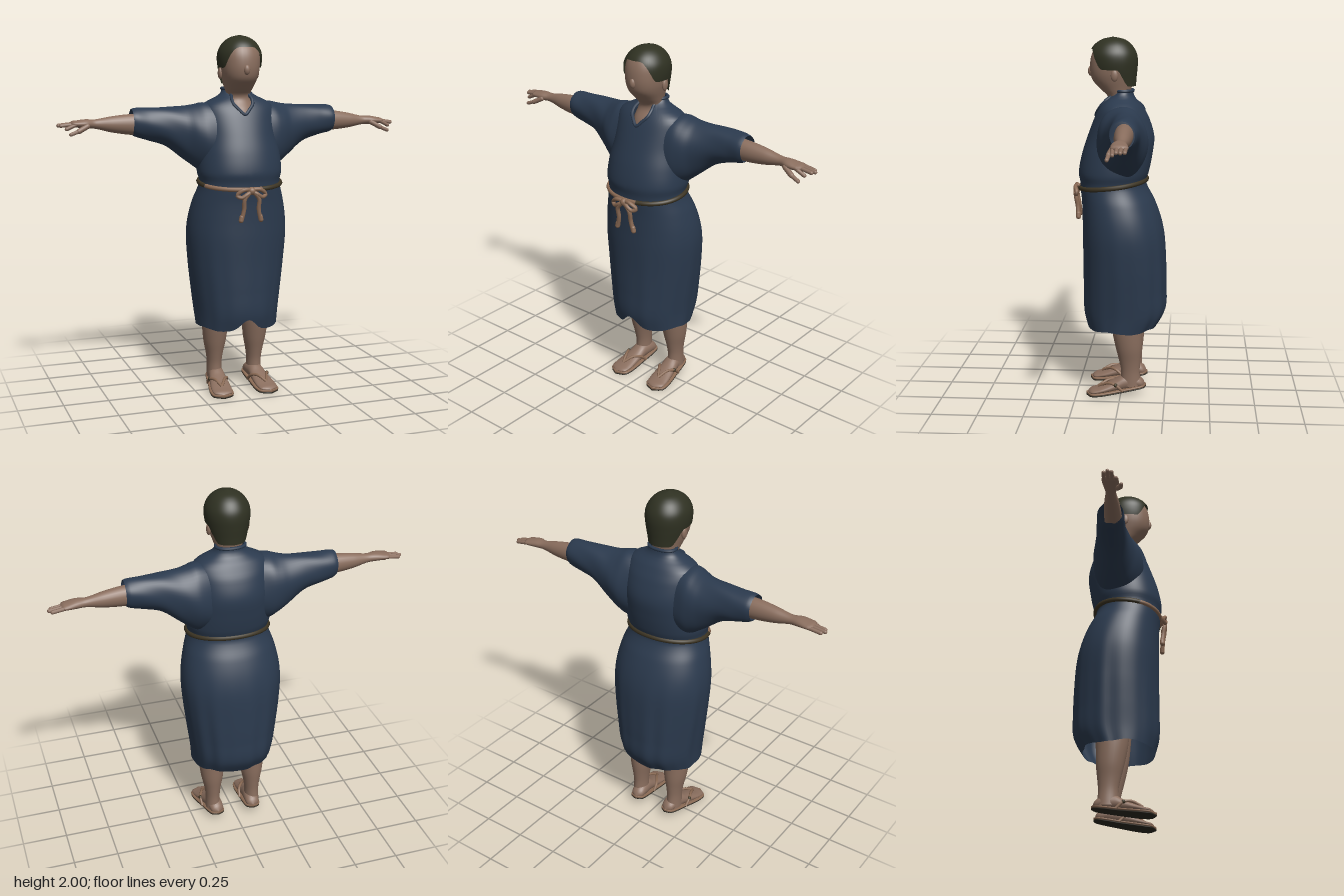
import * as THREE from 'three';

const mat = (name, color, side = THREE.FrontSide) => {
  const m = new THREE.MeshStandardMaterial({ color, side });
  m.name = name;
  return m;
};
const clothMat = mat('navy cloth', 0x2b3a4e, THREE.DoubleSide);
const skinMat = mat('skin', 0x8a6e5e);
const hairMat = mat('dark hair', 0x2f3122, THREE.DoubleSide);
const cordMat = mat('tan cord', 0x8a6a54);
const beltMat = mat('olive belt', 0x3c3423);
const soleMat = mat('dark sole', 0x2b2820);

const V = (x, y, z) => new THREE.Vector3(x, y, z);
const ss = THREE.MathUtils.smoothstep;

// Smooth interpolation of rows [t, lo, hi, lo, hi] at t
function rowAt(rows, t) {
  let i = 0;
  while (i < rows.length - 2 && t > rows[i + 1][0]) i++;
  const slope = (k, c) => {
    const a = rows[Math.max(k - 1, 0)], b = rows[Math.min(k + 1, rows.length - 1)];
    return (b[c] - a[c]) / (b[0] - a[0]);
  };
  const A = rows[i], B = rows[i + 1], h = B[0] - A[0];
  const u = THREE.MathUtils.clamp((t - A[0]) / h, 0, 1), u2 = u * u, u3 = u2 * u;
  return [1, 2, 3, 4].map(c => (2 * u3 - 3 * u2 + 1) * A[c] + (u3 - 2 * u2 + u) * h * slope(i, c)
    + (3 * u2 - 2 * u3) * B[c] + (u3 - u2) * h * slope(i + 1, c));
}

// Point on a rounded cross-section; rows list the two other axes in x, y, z order
function sectionPoint(axis, rows, t, a, p = 2, fold = null) {
  const r = rowAt(rows, t), k = 'xyz'.indexOf(axis), others = [0, 1, 2].filter(i => i !== k);
  const pw = v => Math.sign(v) * Math.pow(Math.abs(v), 2 / p);
  const f = fold ? fold(t, a) : 1, out = [0, 0, 0];
  const dir = [0, 0, 0];
  dir[(k + 2) % 3] = pw(Math.cos(a)) * f;
  dir[(k + 1) % 3] = pw(Math.sin(a)) * f;
  out[k] = t;
  others.forEach((o, n) => {
    const lo = r[2 * n], hi = r[2 * n + 1];
    out[o] = (lo + hi) / 2 + dir[o] * (hi - lo) / 2;
  });
  return V(...out);
}

// Skin through the sections; start and end may vary with the angle
function loft(axis, rows, { seg = 32, steps = 40, p = 2, fold = null, start = null, end = null } = {}) {
  rows = [...rows].sort((a, b) => a[0] - b[0]);
  const pos = [], idx = [];
  for (let i = 0; i <= steps; i++) for (let j = 0; j < seg; j++) {
    const a = j / seg * Math.PI * 2;
    const t0 = start ? start(a) : rows[0][0], t1 = end ? end(a) : rows[rows.length - 1][0];
    pos.push(...sectionPoint(axis, rows, t0 + (t1 - t0) * i / steps, a, p, fold).toArray());
  }
  for (let i = 0; i < steps; i++) for (let j = 0; j < seg; j++) {
    const a = i * seg + j, b = i * seg + (j + 1) % seg;
    idx.push(a, a + seg, b, b, a + seg, b + seg);
  }
  const g = new THREE.BufferGeometry();
  g.setAttribute('position', new THREE.Float32BufferAttribute(pos, 3));
  g.setIndex(idx);
  g.computeVertexNormals();
  return g;
}

const tube = (pts, r, closed = false) =>
  new THREE.TubeGeometry(new THREE.CatmullRomCurve3(pts, closed), pts.length * 4, r, 8, closed);

function add(parent, name, geo, material) {
  const m = new THREE.Mesh(geo, material);
  m.name = name;
  parent.add(m);
  return m;
}

function capsule(parent, name, a, b, r, material) {
  const d = b.clone().sub(a);
  const m = add(parent, name, new THREE.CapsuleGeometry(r, d.length(), 5, 10), material);
  m.position.copy(a).add(b).multiplyScalar(0.5);
  m.quaternion.setFromUnitVectors(V(0, 1, 0), d.normalize());
  return m;
}

const sym = (t, w, lo, hi) => [t, -w, w, lo, hi];

export function createModel() {
  const model = new THREE.Group();
  model.name = 'robedFigure';

  // Robe: skirt, waist, torso and shoulders in one surface with a V neck
  const robe = [
    sym(0.37, 0.228, -0.19, 0.19), sym(0.47, 0.236, -0.245, 0.215), sym(0.6, 0.252, -0.25, 0.218),
    sym(0.75, 0.27, -0.247, 0.218), sym(0.9, 0.282, -0.238, 0.22), sym(1.0, 0.276, -0.218, 0.22),
    sym(1.1, 0.255, -0.182, 0.223), sym(1.17, 0.232, -0.145, 0.23), sym(1.21, 0.225, -0.132, 0.232),
    sym(1.26, 0.236, -0.148, 0.24), sym(1.36, 0.232, -0.168, 0.222), sym(1.46, 0.22, -0.177, 0.19),
    sym(1.56, 0.215, -0.148, 0.152), sym(1.61, 0.205, -0.12, 0.128), sym(1.64, 0.175, -0.1, 0.108),
    sym(1.66, 0.13, -0.08, 0.09), sym(1.685, 0.09, -0.065, 0.06), sym(1.73, 0.076, -0.058, 0.03),
  ];
  const folds = (t, a) => {
    const skirt = 1 - ss(t, 0.6, 1.1), back = 0.4 + 0.6 * ss(-Math.sin(a), -0.3, 0.4);
    return 1 + skirt * back * (0.012 * Math.sin(11 * a + 1) + 0.008 * Math.sin(17 * a));
  };
  const hem = a => 0.385 + (Math.sin(a) > 0 ? 0.055 * Math.exp(-((Math.cos(a) / 0.2) ** 2)) : 0)
    + 0.006 * Math.sin(5 * a);
  const neckline = a => Math.sin(a) > 0 ? 1.575 + 0.135 * Math.min(1, Math.abs(Math.cos(a)) / 0.65) : 1.71;
  add(model, 'robe', loft('y', robe, { seg: 96, steps: 90, p: 2.15, fold: folds, start: hem, end: neckline }), clothMat);

  // Collar band following the neckline
  const collar = [];
  for (let j = 0; j < 48; j++) {
    const a = j / 48 * Math.PI * 2 + Math.PI / 2;
    collar.push(sectionPoint('y', robe, neckline(a), a, 2.15));
  }
  add(model, 'collar', tube(collar, 0.009, true), clothMat);

  // Belt: tan cord in front, olive band around the rest
  const beltArc = (from, to) => Array.from({ length: 25 }, (_, i) => {
    const a = THREE.MathUtils.degToRad(from + (to - from) * i / 24);
    return sectionPoint('y', robe, 1.2 - 0.023 * Math.sin(a), a, 2.15, () => 1.012);
  });
  add(model, 'beltFront', tube(beltArc(75, 160), 0.012), cordMat);
  add(model, 'beltBack', tube(beltArc(160, 435), 0.013), beltMat);

  // Bow: knot, two loops, two hanging tails
  const knot = add(model, 'knot', new THREE.SphereGeometry(0.022, 16, 12), cordMat);
  knot.position.set(0, 1.172, 0.25);
  for (const s of [-1, 1]) {
    add(model, 'bowLoop', tube([V(0, 1.175, 0.25), V(s * 0.045, 1.18, 0.258), V(s * 0.082, 1.15, 0.245),
      V(s * 0.06, 1.138, 0.255), V(s * 0.03, 1.155, 0.26)], 0.011, true), cordMat);
    add(model, 'bowTail', tube([V(s * 0.005, 1.17, 0.255), V(s * 0.04, 1.13, 0.255), V(s * 0.042, 1.07, 0.245),
      V(s * 0.055, 1.01, 0.24)], 0.012), cordMat);
    capsule(model, 'tailEnd', V(s * 0.053, 1.03, 0.24), V(s * 0.057, 1.012, 0.24), 0.014, cordMat);
  }

  // Head and neck
  add(model, 'head', loft('y', [
    sym(1.53, 0.095, -0.08, 0.135), sym(1.6, 0.09, -0.08, 0.108), sym(1.65, 0.076, -0.055, 0.078),
    sym(1.68, 0.07, -0.045, 0.08), sym(1.715, 0.078, -0.05, 0.115), sym(1.76, 0.092, -0.06, 0.158),
    sym(1.8, 0.102, -0.065, 0.173), sym(1.85, 0.107, -0.07, 0.176), sym(1.9, 0.105, -0.065, 0.168),
    sym(1.94, 0.09, -0.05, 0.148), sym(1.97, 0.06, -0.02, 0.115), sym(1.985, 0, 0.05, 0.05),
  ], { steps: 60, p: 2.15 }), skinMat);
  const nose = add(model, 'nose', new THREE.SphereGeometry(1, 16, 12), skinMat);
  nose.scale.set(0.018, 0.028, 0.018);
  nose.position.set(0, 1.815, 0.17);

  // Hair cap with a shaped hairline
  const hairline = a => {
    const s = Math.sin(a);
    return 1.735 + 0.09 * ss(s, -0.6, -0.2) + 0.11 * ss(s, 0.4, 0.95);
  };
  add(model, 'hair', loft('y', [
    sym(1.72, 0.085, -0.075, 0.1), sym(1.77, 0.102, -0.078, 0.15), sym(1.82, 0.115, -0.083, 0.178),
    sym(1.87, 0.121, -0.086, 0.183), sym(1.91, 0.117, -0.08, 0.179), sym(1.945, 0.1, -0.062, 0.162),
    sym(1.972, 0.075, -0.036, 0.134), sym(1.99, 0.043, -0.002, 0.098), sym(2.0, 0, 0.05, 0.05),
  ], { seg: 64, steps: 50, p: 2.05, start: hairline }), hairMat);

  for (const s of [-1, 1]) {
    const side = s > 0 ? 'left' : 'right';
    const ear = add(model, side + 'Ear', new THREE.SphereGeometry(1, 14, 10), skinMat);
    ear.scale.set(0.012, 0.032, 0.02);
    ear.position.set(s * 0.106, 1.795, 0.035);

    // The right arm is held slightly higher and further forward
    const lift = x => s < 0 ? Math.max(0, x - 0.5) * 0.065 : 0;
    const pose = (rows, dz) => rows.map(([x, a, b, c, d]) =>
      [s * x, a + lift(x), b + lift(x), c + (s < 0 ? dz : 0), d + (s < 0 ? dz : 0)]);
    const at = (x, y, z) => V(s * x, y + lift(x), z + (s < 0 ? 0.025 : 0));

    // Wide sleeve with light creases
    add(model, side + 'Sleeve', loft('x', pose([
      [0.1, 1.24, 1.63, -0.13, 0.13], [0.2, 1.255, 1.638, -0.152, 0.125], [0.25, 1.287, 1.626, -0.15, 0.108],
      [0.3, 1.325, 1.618, -0.14, 0.08], [0.4, 1.403, 1.615, -0.125, 0.046], [0.5, 1.436, 1.612, -0.12, 0.032],
      [0.57, 1.452, 1.607, -0.113, 0.03], [0.588, 1.462, 1.6, -0.105, 0.025],
    ], 0.01), { seg: 48, fold: (t, a) => 1 + 0.014 * Math.sin(5 * a + t * 22) }), clothMat);

    // Forearm and palm
    add(model, side + 'Arm', loft('x', pose([
      [0.5, 1.463, 1.58, -0.092, 0.006], [0.6, 1.463, 1.574, -0.09, 0.002], [0.7, 1.472, 1.558, -0.085, -0.008],
      [0.79, 1.488, 1.538, -0.075, -0.02], [0.84, 1.488, 1.537, -0.083, -0.004], [0.89, 1.491, 1.528, -0.09, -0.004],
      [0.915, 1.495, 1.522, -0.085, -0.012], [0.925, 1.508, 1.508, -0.05, -0.05],
    ], 0.025), { seg: 24 }), skinMat);

    // Fingers and thumb
    [0.945, 0.972, 0.982, 0.968].forEach((tip, i) => {
      const z = -0.015 - i * 0.021;
      capsule(model, side + 'Finger', at(0.89, 1.51, z), at(tip, 1.497 - (i === 0 ? 0.015 : 0), z * 0.95 - 0.003), 0.0105, skinMat);
    });
    capsule(model, side + 'Thumb', at(0.835, 1.502, -0.012), at(0.885, 1.474, 0.004), 0.014, skinMat);
    capsule(model, side + 'ThumbTip', at(0.885, 1.474, 0.004), at(0.928, 1.456, 0.01), 0.0105, skinMat);

    // Leg
    const cx = s > 0 ? 0.125 : -0.117;
    const leg = (y, w, lo, hi) => [y, cx - w, cx + w, lo, hi];
    add(model, side + 'Leg', loft('y', [
      leg(0.06, 0.042, -0.115, 0), leg(0.14, 0.041, -0.108, -0.003), leg(0.2, 0.048, -0.112, 0.008),
      leg(0.28, 0.064, -0.12, 0.028), leg(0.38, 0.074, -0.122, 0.048), leg(0.5, 0.078, -0.125, 0.06),
      leg(0.75, 0.09, -0.13, 0.08),
    ], { seg: 28 }), skinMat);

    // Foot in a flat sandal, toes turned slightly outward
    const foot = new THREE.Group();
    foot.name = side + 'Foot';
    foot.position.x = cx;
    foot.rotation.y = s * 0.1;
    model.add(foot);
    add(foot, 'footSkin', loft('z', [
      sym(-0.138, 0, 0.065, 0.065), sym(-0.125, 0.03, 0.045, 0.092), sym(-0.08, 0.043, 0.038, 0.12),
      sym(-0.02, 0.045, 0.03, 0.12), sym(0.03, 0.05, 0.024, 0.092), sym(0.08, 0.056, 0.018, 0.068),
      sym(0.13, 0.057, 0.014, 0.048), sym(0.17, 0.045, 0.012, 0.036), sym(0.186, 0, 0.022, 0.022),
    ], { seg: 24 }), skinMat);
    const slab = (low, thick, grow) => loft('z', [
      [-0.144, 0, 0.047], [-0.13, 0.035, 0.044], [-0.07, 0.05, 0.034], [0.0, 0.055, 0.022],
      [0.08, 0.064, 0.01], [0.13, 0.065, 0.004], [0.17, 0.052, 0.001], [0.195, 0, 0.001],
    ].map(([z, w, y]) => sym(z, w * grow, y + low, y + low + thick)), { seg: 24, p: 4 });
    add(foot, 'sandalTop', slab(0.007, 0.013, 1), cordMat);
    add(foot, 'sandalSole', slab(0, 0.009, 0.98), soleMat);
    for (const e of [-1, 1]) {
      add(foot, 'strap', tube([V(e * 0.054, 0.035, -0.01), V(e * 0.05, 0.07, 0.03), V(e * 0.028, 0.077, 0.07),
        V(0, 0.052, 0.125)], 0.008), cordMat);
    }
    const tie = add(foot, 'strapKnot', new THREE.SphereGeometry(0.011, 10, 8), beltMat);
    tie.position.set(s * 0.05, 0.07, 0.03);
  }
  return model;
}
